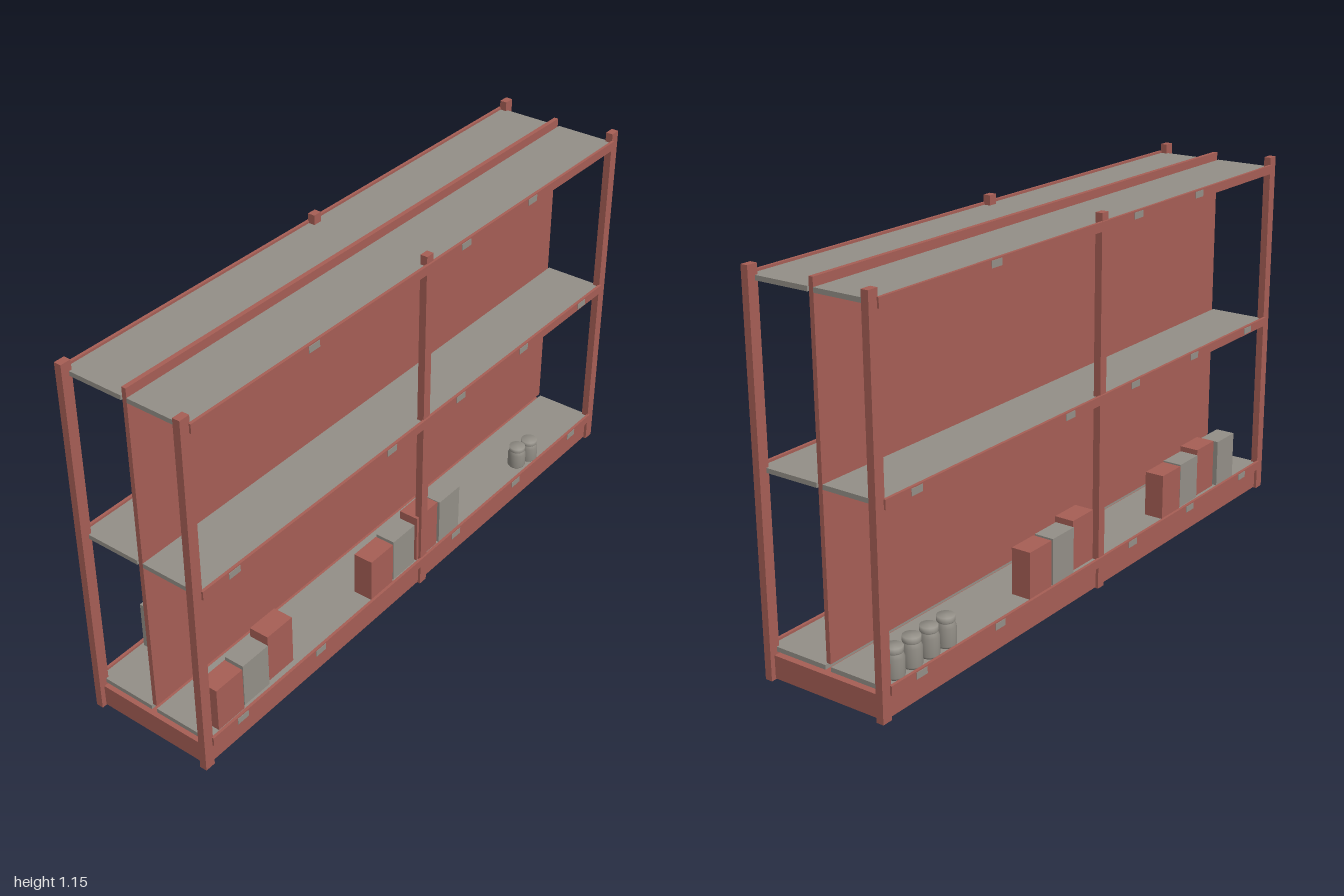
import * as THREE from 'three';

const red = new THREE.MeshStandardMaterial({ color: 0xa65e55 });
red.name = 'brick red';
const grey = new THREE.MeshStandardMaterial({ color: 0x938f87 });
grey.name = 'warm grey';

export function createModel() {
  const model = new THREE.Group();
  model.name = 'doubleSidedShelf';

  // Box given by its extents along each axis
  function box(name, material, [x0, x1], [y0, y1], [z0, z1]) {
    const mesh = new THREE.Mesh(
      new THREE.BoxGeometry(Math.abs(x1 - x0), y1 - y0, Math.abs(z1 - z0)), material);
    mesh.position.set((x0 + x1) / 2, (y0 + y1) / 2, (z0 + z1) / 2);
    mesh.name = name;
    model.add(mesh);
  }

  // Plinth and the panel that divides the two sides
  box('plinth', red, [-0.2, 0.2], [0.003, 0.072], [-0.985, 0.985]);
  box('dividingPanel', red, [-0.007, 0.007], [0.1, 1.15], [-0.972, 0.972]);

  const shelfY = [0.087, 0.603, 1.118];
  const tagZ = [
    [0.85, 0.51, -0.165, -0.505, -0.845],
    [0.85, 0.175, -0.165, -0.505, -0.845],
    [0.51, -0.165, -0.505],
  ];
  for (const s of [-1, 1]) {
    // Posts at both ends and in the middle
    for (const z of [-0.983, 0, 0.983]) {
      const half = z ? 0.017 : 0.015;
      box('post', red, [s * 0.186, s * 0.209], [0, 1.155], [z - half, z + half]);
    }
    // Shelves with an edge rail and price tags
    shelfY.forEach((y, i) => {
      box('shelf', grey, [s * 0.01, s * 0.206], [y - 0.007, y + 0.007], [-0.975, 0.975]);
      box('edgeRail', red, [s * 0.206, s * 0.215], [y - 0.014, y + 0.014], [-0.97, 0.97]);
      for (const z of tagZ[i]) {
        box('priceTag', grey, [s * 0.214, s * 0.2165], [y - 0.01, y + 0.01],
          [s * z - 0.022, s * z + 0.022]);
      }
    });
  }

  // Rows of cartons, alternating in colour
  const base = 0.094;
  function cartons(side, start, list) {
    list.forEach(([outer, top], i) => {
      const z = start - side * i * 0.115;
      box('carton', i % 2 ? grey : red, [side * (outer - 0.064), side * outer],
        [base, top], [z, z - side * 0.105]);
    });
  }
  cartons(1, 0.932, [[0.2, 0.237], [0.193, 0.237], [0.184, 0.255]]);
  cartons(1, 0.255, [[0.203, 0.237], [0.198, 0.237], [0.2, 0.255], [0.202, 0.248]]);
  cartons(-1, -0.35, [[0.2, 0.24], [0.198, 0.24], [0.188, 0.253]]);
  cartons(-1, 0.36, [[0.2, 0.24], [0.195, 0.24], [0.188, 0.253], [0.198, 0.248]]);

  // Jars with a rounded shoulder and a flat lid
  const profile = [[0, 0], [0.024, 0], [0.029, 0.006], [0.029, 0.05], [0.024, 0.06],
    [0.024, 0.062], [0.026, 0.063], [0.026, 0.076], [0, 0.076]]
    .map(([r, y]) => new THREE.Vector2(r, y));
  const jarGeometry = new THREE.LatheGeometry(profile, 16);
  function jar(x, z, stretch) {
    const mesh = new THREE.Mesh(jarGeometry, grey);
    mesh.position.set(x, base, z);
    mesh.scale.y = stretch;
    mesh.name = 'jar';
    model.add(mesh);
  }
  jar(0.168, -0.58, 1);
  jar(0.178, -0.636, 1);
  for (let i = 0; i < 4; i++) jar(-0.178, -0.915 + i * 0.071, 1.2);

  return model;
}
